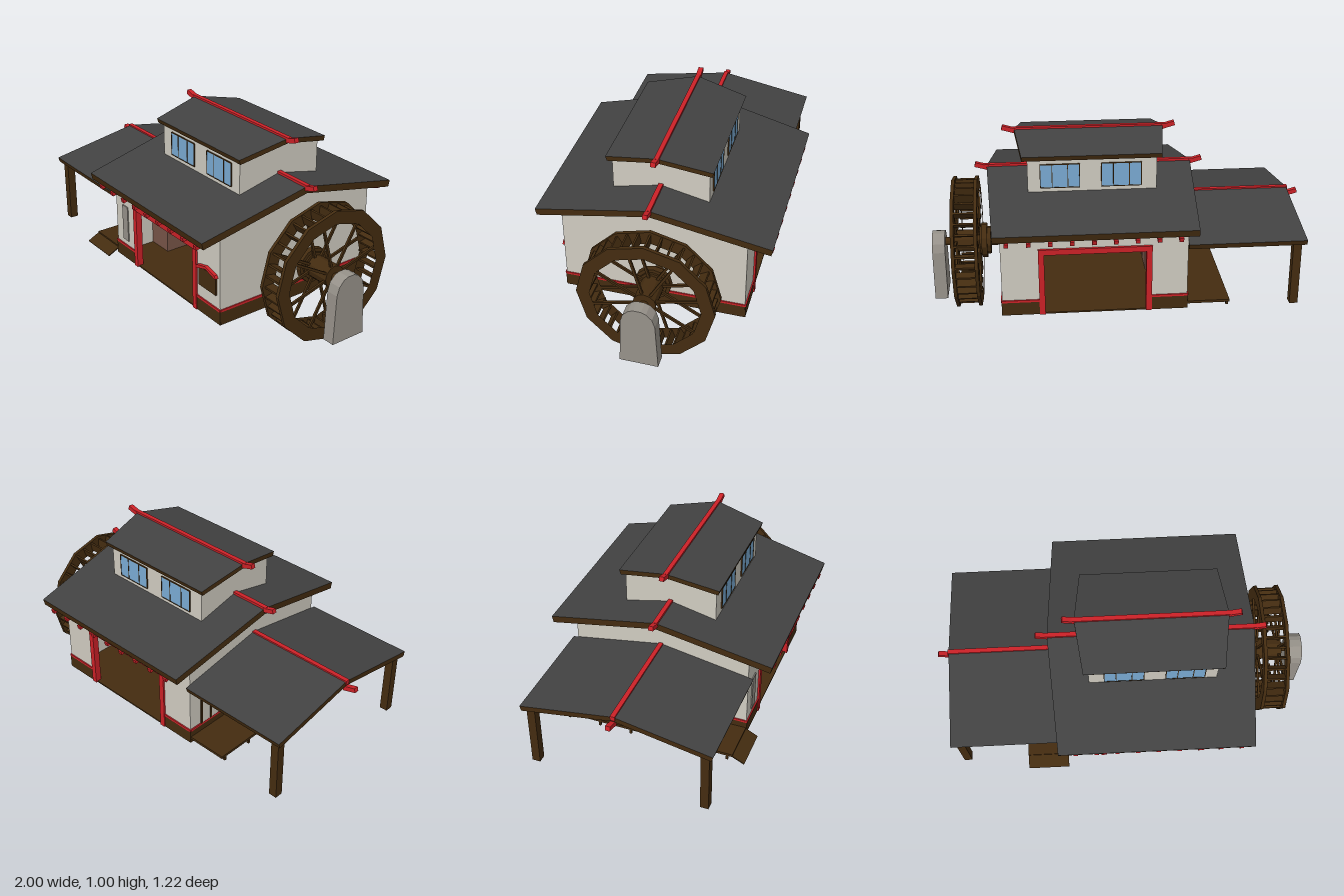
import * as THREE from 'three';

const mat = (name, color) => Object.assign(new THREE.MeshStandardMaterial({ color }), { name });

export function createModel() {
  const root = new THREE.Group();
  root.name = 'watermill';
  const slate = mat('slate', 0x424242);
  const wood = mat('darkWood', 0x442c10);
  const plaster = mat('plaster', 0xd0ccc1);
  const red = mat('redPaint', 0xcc2127);
  const glass = mat('windowBlue', 0x7aabd4);
  const stone = mat('stone', 0x97928a);
  const crateWood = mat('crateWood', 0x785548);

  const add = (name, geo, m, parent = root) => {
    const mesh = new THREE.Mesh(geo, m);
    mesh.name = name;
    parent.add(mesh);
    return mesh;
  };
  // Box given by its minimum and maximum on each axis
  const box = (name, m, x0, x1, y0, y1, z0, z1, parent = root) => {
    const mesh = add(name, new THREE.BoxGeometry(x1 - x0, y1 - y0, z1 - z0), m, parent);
    mesh.position.set((x0 + x1) / 2, (y0 + y1) / 2, (z0 + z1) / 2);
    return mesh;
  };
  const polygon = (pts) => new THREE.Shape(pts.map(([x, y]) => new THREE.Vector2(x, y)));
  const extrude = (shape, depth) => new THREE.ExtrudeGeometry(shape, { depth, bevelEnabled: false });
  // Profile drawn in the z-y plane and extruded along x
  const sideExtrude = (name, shape, m, x, depth, parent = root) => {
    const mesh = add(name, extrude(shape, depth).rotateY(Math.PI / 2), m, parent);
    mesh.position.x = x;
    return mesh;
  };
  const gable = (z, y0, y1, top) => polygon([[-z, y0], [z, y0], [z, y1], [0, top], [-z, y1]]);

  // Pitched roof: slate on top, wood on the edges and underside
  const roof = (name, { eave, ridge, z, yEave, yRidge, t }) => {
    const mats = [wood, wood, slate, wood, wood, wood];
    for (const s of [1, -1]) {
      const geo = new THREE.BoxGeometry(1, 1, 1);
      const p = geo.attributes.position;
      for (let i = 0; i < p.count; i++) {
        const outer = p.getZ(i) * s > 0;
        const span = outer ? eave : ridge;
        const low = p.getY(i) < 0;
        p.setXYZ(i, span[p.getX(i) > 0 ? 1 : 0],
          (outer ? yEave : yRidge) - (low ? t : 0), outer ? s * (z - (low ? 0.008 : 0)) : 0);
      }
      geo.computeVertexNormals();
      add(name, geo, mats);
    }
  };
  // Red ridge beam with an upturned tip at each listed end
  const ridgeBeam = (name, x0, x1, y, tips, tipY) => {
    box(name, red, x0, x1, y - 0.02, y + 0.005, -0.012, 0.012);
    for (const [x, dir] of tips) {
      const tip = add(name + 'Tip', new THREE.BoxGeometry(0.075, 0.024, 0.026), red);
      tip.position.set(x + dir * 0.025, tipY, 0);
      tip.rotation.z = dir * 0.28;
    }
  };

  // Floor and hall walls
  const X0 = -0.33, X1 = 0.625, Z = 0.48, D0 = -0.13, D1 = 0.42;
  box('floor', wood, X0, X1, 0.138, 0.146, -Z, Z);
  const doorWall = polygon([[X0, 0.14], [D0, 0.14], [D0, 0.49], [D1, 0.49], [D1, 0.14],
    [X1, 0.14], [X1, 0.635], [X0, 0.635]]);
  for (const s of [1, -1]) {
    const wall = add('doorWall', extrude(doorWall, 0.02), plaster);
    wall.position.z = s > 0 ? Z - 0.02 : -Z;
    const face = (name, m, x0, x1, y0, y1, out) =>
      box(name, m, x0, x1, y0, y1, Math.min(s * (Z - 0.025), s * (Z + out)), Math.max(s * (Z - 0.025), s * (Z + out)));
    // Door frame, skirting and trim
    face('doorPost', red, -0.145, -0.115, 0.14, 0.51, 0.01);
    face('doorPost', red, 0.405, 0.435, 0.14, 0.51, 0.01);
    face('doorLintel', red, -0.145, 0.435, 0.48, 0.51, 0.014);
    for (const [a, b] of [[X0 - 0.003, -0.145], [0.435, X1 + 0.003]]) {
      face('skirting', wood, a, b, 0.14, 0.213, 0.004);
      face('skirtingTrim', red, a, b, 0.213, 0.225, 0.007);
    }
    // Rafter ends under the eaves
    for (let i = 0; i < 9; i++) {
      const x = -0.275 + i * 0.108;
      const rafter = box('rafterEnd', red, x - 0.011, x + 0.011, 0.596, 0.618, -0.07, 0.07);
      rafter.position.z = s * 0.535;
      rafter.rotation.x = s * 0.235;
    }
  }
  for (const s of [1, -1]) {
    const x = s > 0 ? X1 : X0;
    sideExtrude('gableWall', gable(Z, 0.14, 0.63, 0.745), plaster, s > 0 ? X1 - 0.02 : X0, 0.02);
    box('sideSkirting', wood, x - 0.004, x + 0.004, 0.14, 0.213, -Z, Z);
    box('sideTrim', red, x - 0.006, x + 0.006, 0.213, 0.225, -Z, Z);
  }
  roof('mainRoof', { eave: [-0.365, 0.657], ridge: [-0.4, 0.69], z: 0.61, yEave: 0.643, yRidge: 0.782, t: 0.036 });
  ridgeBeam('mainRidge', -0.41, 0.7, 0.787, [[-0.4, -1], [0.69, 1]], 0.782);

  // Front slit window and notice board
  box('slitWindow', stone, -0.262, -0.21, 0.255, 0.46, Z, Z + 0.006);
  box('noticeBoard', wood, 0.455, 0.598, 0.295, 0.4, Z, Z + 0.008);
  const boardRoof = add('noticeBoardRoof', extrude(polygon([[0.443, 0.395], [0.455, 0.392], [0.527, 0.414],
    [0.598, 0.392], [0.61, 0.395], [0.6, 0.41], [0.527, 0.428], [0.453, 0.41]]), 0.018), red);
  boardRoof.position.z = Z;

  // Ceiling boards and crates inside the hall
  for (let i = 0; i < 10; i++) {
    const z = -0.45 + i * 0.09;
    box('ceilingBoard', crateWood, X0 + 0.02, X1 - 0.02, 0.57 + (i % 2) * 0.01, 0.59, z, z + 0.09);
  }
  for (const [z, h, w] of [[0.2, 0.16, 0.13], [0.03, 0.24, 0.15], [-0.2, 0.18, 0.14]])
    box('crate', crateWood, -0.31, -0.16, 0.146, 0.146 + h, z - w / 2, z + w / 2);

  // Upper storey with windows front and back
  sideExtrude('upperStorey', gable(0.25, 0.64, 0.9, 0.96), plaster, -0.19, 0.665);
  for (const s of [1, -1]) {
    for (const [a, b] of [[-0.11, 0.095], [0.208, 0.41]]) {
      const win = new THREE.Group();
      win.name = 'upperWindow';
      win.position.set((a + b) / 2, 0.811, s * 0.25);
      root.add(win);
      const w = (b - a) / 2, h = 0.063;
      box('windowPane', glass, -w, w, -h, h, -0.005, 0.005, win);
      for (const x of [-w, -w * 0.4, w * 0.4, w])
        box('windowBar', wood, x - 0.002, x + 0.002, -h, h, -0.007, 0.007, win);
      for (const y of [-h, h])
        box('windowBar', wood, -w, w, y - 0.002, y + 0.002, -0.007, 0.007, win);
    }
  }
  roof('upperRoof', { eave: [-0.215, 0.503], ridge: [-0.25, 0.538], z: 0.275, yEave: 0.925, yRidge: 0.985, t: 0.025 });
  ridgeBeam('upperRidge', -0.26, 0.55, 0.988, [[-0.25, -1], [0.54, 1]], 0.984);

  // Side canopy on two posts
  roof('canopyRoof', { eave: [-0.94, X0], ridge: [-0.94, X0], z: 0.507, yEave: 0.514, yRidge: 0.604, t: 0.027 });
  ridgeBeam('canopyRidge', -0.945, X0, 0.605, [[-0.938, -1]], 0.571);
  for (const s of [1, -1])
    box('canopyPost', wood, -0.918, -0.874, 0.14, 0.51, s * 0.46 - 0.022, s * 0.46 + 0.022);

  // Side deck with stubs and a front ramp
  box('deck', wood, -0.555, X0, 0.163, 0.177, -Z, Z);
  for (let i = 0; i < 6; i++) {
    const z = -0.45 + i * 0.18;
    box('deckStub', wood, -0.552, -0.54, 0.135, 0.165, z - 0.006, z + 0.006);
  }
  const ramp = box('ramp', wood, -0.555, X0, 0.147, 0.153, 0.475, 0.549);
  ramp.rotation.x = 0.46;

  // Sliding screens facing the deck
  box('screenPanel', plaster, -0.335, X0, 0.225, 0.43, -0.4, 0.4);
  for (let i = 0; i <= 12; i++) {
    const z = -0.4 + i * 0.8 / 12;
    box('screenBar', wood, -0.339, X0, 0.225, 0.44, z - 0.006, z + 0.006);
  }
  box('screenRail', wood, -0.339, X0, 0.43, 0.442, -0.406, 0.406);

  // Water wheel: two twelve-sided rims, spokes, paddles and a hub
  const wheel = new THREE.Group();
  wheel.name = 'waterWheel';
  wheel.position.set(0, 0.358, -0.028);
  root.add(wheel);
  const ring = (r) => Array.from({ length: 12 }, (_, i) =>
    [r * Math.sin(i * Math.PI / 6), r * Math.cos(i * Math.PI / 6)]);
  const rim = polygon(ring(0.356));
  rim.holes.push(polygon(ring(0.286)));
  for (const x of [0.743, 0.862]) {
    sideExtrude('wheelRim', rim, wood, x, 0.018, wheel);
    for (let i = 0; i < 8; i++) {
      const spoke = add('spoke', new THREE.BoxGeometry(0.012, 0.25, 0.013).translate(0, 0.165, 0), wood, wheel);
      spoke.position.x = x + 0.009;
      spoke.rotation.x = Math.PI / 12 + i * Math.PI / 4;
    }
  }
  for (let i = 0; i < 36; i++) {
    const paddle = add('paddle', new THREE.BoxGeometry(0.12, 0.05, 0.01).translate(0, 0.315, 0), wood, wheel);
    paddle.position.x = 0.811;
    paddle.rotation.x = i * Math.PI / 18;
  }
  for (const [x0, x1, r] of [[0.62, 0.95, 0.022], [0.63, 0.69, 0.03], [0.685, 0.745, 0.075], [0.705, 0.735, 0.094], [0.74, 0.885, 0.06]]) {
    const hub = add('hub', new THREE.CylinderGeometry(r, r, x1 - x0, 12).rotateZ(Math.PI / 2).toNonIndexed(), wood, wheel);
    hub.geometry.computeVertexNormals();
    hub.position.x = (x0 + x1) / 2;
  }

  // Stone bearing block with a rounded top
  const block = polygon([[-0.1, 0.06], [0.1, 0.06], [0.088, 0.33], [0.074, 0.375], [0.045, 0.405],
    [0.02, 0.415], [-0.02, 0.415], [-0.045, 0.405], [-0.074, 0.375], [-0.088, 0.33]]);
  sideExtrude('bearingBlock', block, stone, 0.932, 0.068).position.z = -0.028;

  return root;
}
